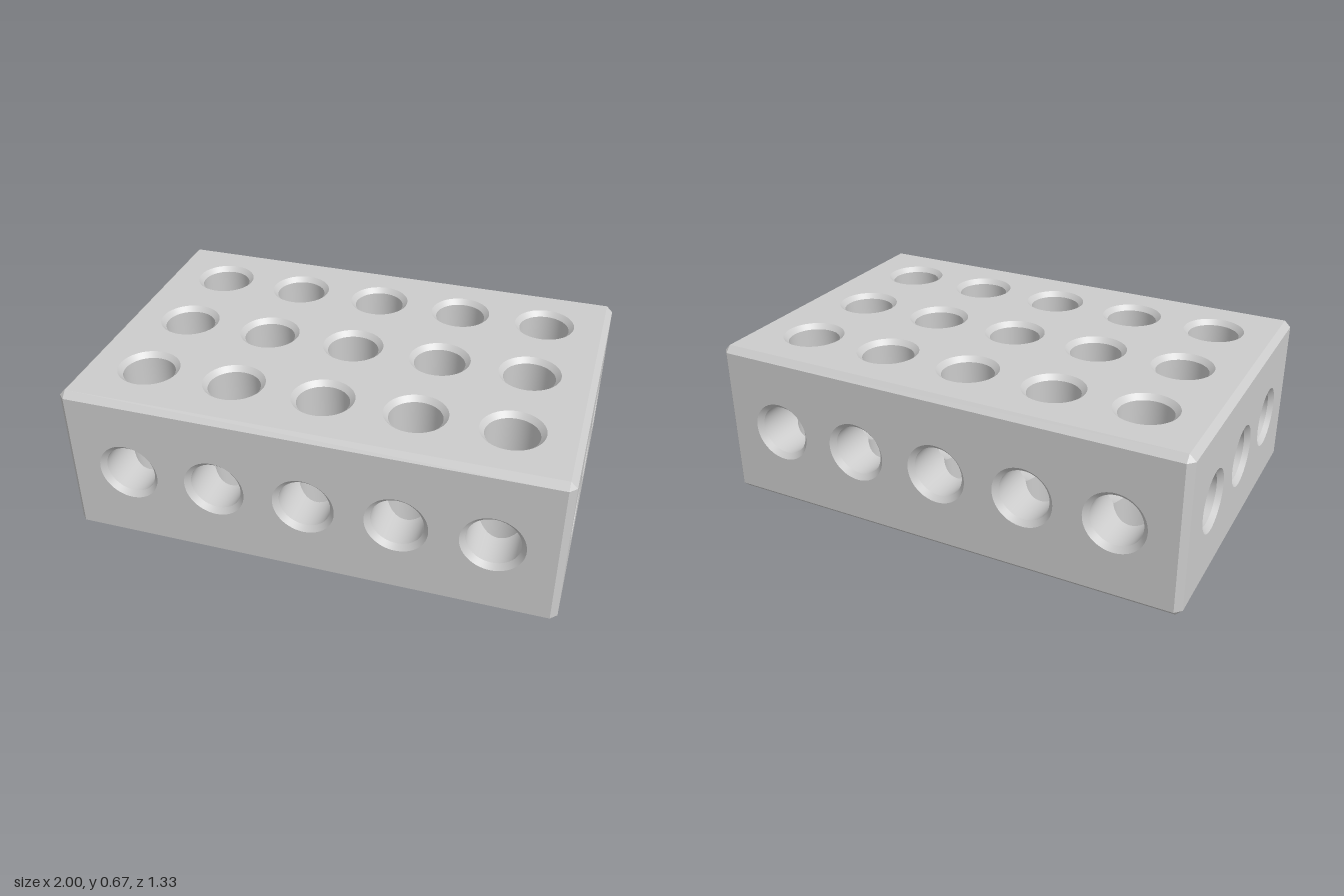
import * as THREE from 'three';
import { mergeGeometries } from 'three/addons/utils/BufferGeometryUtils.js';

const HALF = [1, 0.3333, 0.6667];  // half extents in x, y, z
const EDGE = 0.026;                // bevel on the block edges
const R = 0.1045, RIM = 0.125;     // bore radius and countersink radius
const SINK = RIM - R;              // countersink depth
const SEG = 64;

const X = [-0.733, -0.367, 0, 0.367, 0.733];
const Z_VERTICAL = [-0.4, 0, 0.4];
const Z_CROSS = [-0.367, 0, 0.367];

// Bore centres per axis (0 = x, 1 = y, 2 = z) and where other bores cross them
const BORES = [
  Z_CROSS.map(z => [0, 0, z]),
  X.flatMap(x => Z_VERTICAL.map(z => [x, 0, z])),
  X.map(x => [x, 0, 0]),
];
const STATIONS = [X, [0], Z_VERTICAL];

const unit = i => new THREE.Vector3().setComponent(i, 1);

// Right-handed local frame (u, v, w) with w along the given axis
function frame(axis) {
  return new THREE.Matrix4().makeBasis(unit((axis + 1) % 3), unit((axis + 2) % 3), unit(axis));
}

// Inward-facing wall round the w axis, between heights from(angle) and to(angle)
function wall(from, to, r0, r1) {
  const pos = [], nor = [], uv = [], index = [];
  for (let i = 0; i <= SEG; i++) {
    const t = (i / SEG) * Math.PI * 2, c = Math.cos(t), s = Math.sin(t);
    const a = from(t), b = to(t);
    const slope = r0 === r1 ? 0 : (r1 - r0) / (b - a);
    const n = new THREE.Vector3(-c, -s, slope).normalize();
    pos.push(r0 * c, r0 * s, a, r1 * c, r1 * s, b);
    nor.push(n.x, n.y, n.z, n.x, n.y, n.z);
    uv.push(i / SEG, 0, i / SEG, 1);
    if (i < SEG) {
      const k = i * 2;
      index.push(k, k + 3, k + 2, k, k + 1, k + 3);
    }
  }
  const g = new THREE.BufferGeometry();
  g.setAttribute('position', new THREE.Float32BufferAttribute(pos, 3));
  g.setAttribute('normal', new THREE.Float32BufferAttribute(nor, 3));
  g.setAttribute('uv', new THREE.Float32BufferAttribute(uv, 2));
  g.setIndex(index);
  return g;
}

// Span [low, high] that crossing bores cut from one wall line near a station
function cutSpan(axis, centre, t, station) {
  const p = [...centre];
  p[(axis + 1) % 3] += R * Math.cos(t);
  p[(axis + 2) % 3] += R * Math.sin(t);
  let low = station, high = station;
  for (const other of [(axis + 1) % 3, (axis + 2) % 3]) {
    const across = 3 - axis - other;
    for (const c of BORES[other]) {
      const d = p[across] - c[across];
      if (Math.abs(c[axis] - station) > 0.1 || Math.abs(d) >= R) continue;
      const h = Math.sqrt(R * R - d * d);
      low = Math.min(low, c[axis] - h);
      high = Math.max(high, c[axis] + h);
    }
  }
  return [low, high];
}

// Bore wall in pieces between its crossings, plus a countersink at each end
function boreGeometry(axis, centre) {
  const end = HALF[axis], stops = STATIONS[axis], parts = [];
  for (let k = 0; k <= stops.length; k++) {
    const from = k === 0 ? () => -end + SINK : t => cutSpan(axis, centre, t, stops[k - 1])[1];
    const to = k === stops.length ? () => end - SINK : t => cutSpan(axis, centre, t, stops[k])[0];
    parts.push(wall(from, to, R, R));
  }
  parts.push(wall(() => end - SINK, () => end, R, RIM));
  parts.push(wall(() => -end, () => -end + SINK, RIM, R));
  return mergeGeometries(parts).applyMatrix4(frame(axis)).translate(...centre);
}

// Flat block face pierced by the countersink rims
function faceGeometry(axis) {
  const iu = (axis + 1) % 3, iv = (axis + 2) % 3;
  const u = HALF[iu] - EDGE, v = HALF[iv] - EDGE;
  const shape = new THREE.Shape([[-u, -v], [u, -v], [u, v], [-u, v]].map(p => new THREE.Vector2(...p)));
  for (const c of BORES[axis]) {
    const rim = [];
    for (let i = 0; i < SEG; i++) {
      const t = (i / SEG) * Math.PI * 2;
      rim.push(new THREE.Vector2(c[iu] + RIM * Math.cos(t), c[iv] + RIM * Math.sin(t)));
    }
    shape.holes.push(new THREE.Path(rim));
  }
  return new THREE.ShapeGeometry(shape).translate(0, 0, HALF[axis]);
}

// Edge bevels and corner triangles
function bevelGeometry() {
  const pos = [];
  const tri = (a, b, c) => {
    const n = b.clone().sub(a).cross(c.clone().sub(a));
    const out = n.dot(a.clone().add(b).add(c)) > 0;
    for (const p of out ? [a, b, c] : [a, c, b]) pos.push(p.x, p.y, p.z);
  };
  // Corner of the face on the given axis, in the octant given by signs
  const corner = (axis, signs) =>
    new THREE.Vector3(...HALF.map((h, i) => signs[i] * (i === axis ? h : h - EDGE)));
  for (const a of [-1, 1]) for (const b of [-1, 1]) {
    for (let w = 0; w < 3; w++) {
      const u = (w + 1) % 3, v = (w + 2) % 3;
      const lo = [], hi = [];
      lo[u] = hi[u] = a; lo[v] = hi[v] = b; lo[w] = -1; hi[w] = 1;
      tri(corner(u, lo), corner(u, hi), corner(v, hi));
      tri(corner(u, lo), corner(v, hi), corner(v, lo));
    }
    for (const c of [-1, 1]) tri(...[0, 1, 2].map(i => corner(i, [a, b, c])));
  }
  const g = new THREE.BufferGeometry();
  g.setAttribute('position', new THREE.Float32BufferAttribute(pos, 3));
  g.computeVertexNormals();
  return g;
}

export function createModel() {
  const group = new THREE.Group();
  group.name = 'drilledBlock';
  const material = new THREE.MeshStandardMaterial({ color: 0xcccccc });
  const add = (name, geometry) => {
    const mesh = new THREE.Mesh(geometry, material);
    mesh.name = name;
    mesh.position.y = HALF[1];
    group.add(mesh);
  };

  const faceNames = [['leftFace', 'rightFace'], ['topFace', 'bottomFace'], ['frontFace', 'backFace']];
  const boreNames = ['crosswiseBore', 'verticalBore', 'frontToBackBore'];
  for (let axis = 0; axis < 3; axis++) {
    const face = faceGeometry(axis);
    add(faceNames[axis][0], face.clone().applyMatrix4(frame(axis)));
    add(faceNames[axis][1], face.rotateX(Math.PI).applyMatrix4(frame(axis)));
    BORES[axis].forEach((c, i) => add(boreNames[axis] + (i + 1), boreGeometry(axis, c)));
  }
  add('edgeBevels', bevelGeometry());
  return group;
}
